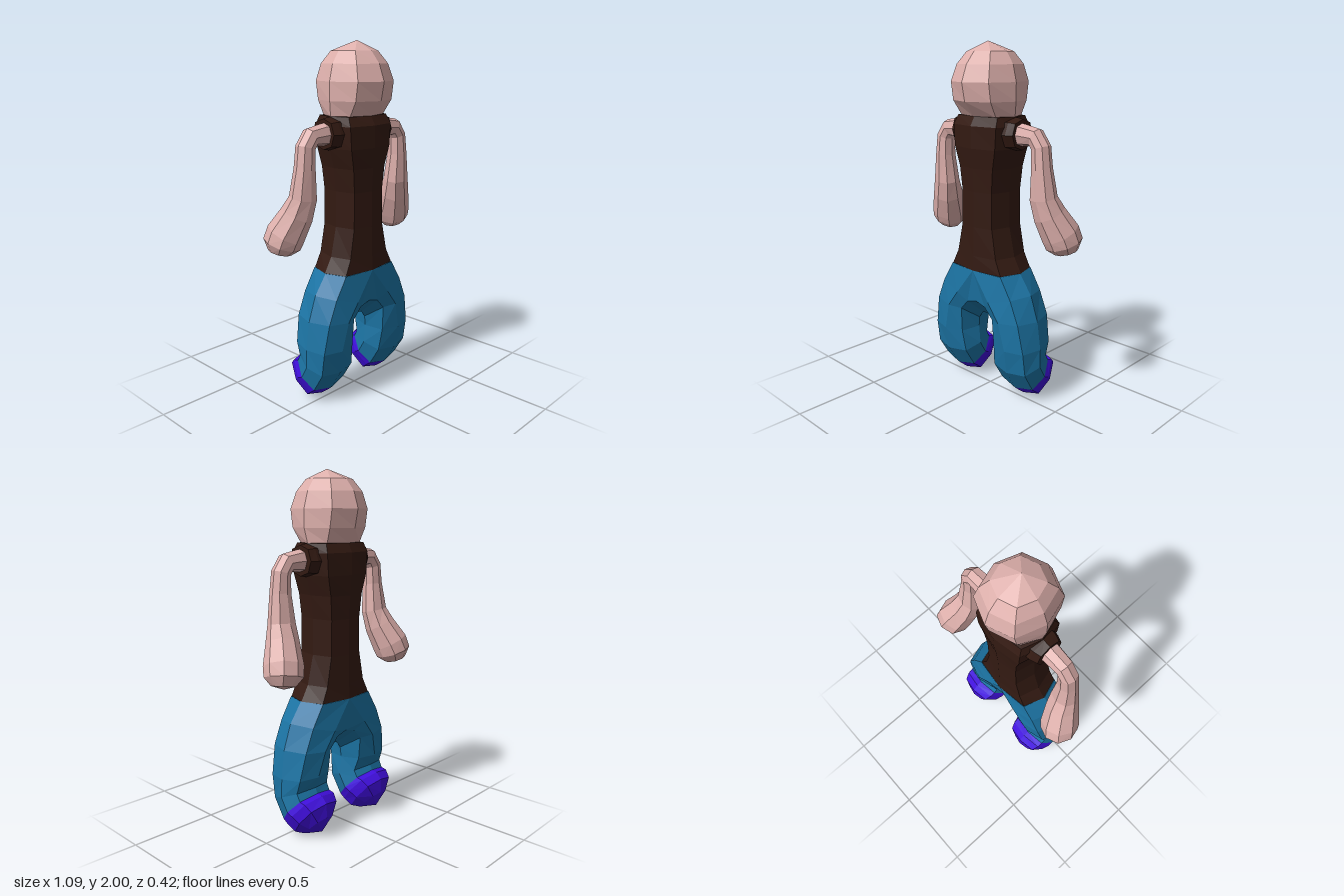
import * as THREE from 'three';

const V = (x, y, z) => new THREE.Vector3(x, y, z);
const material = (color) => new THREE.MeshStandardMaterial({ color, flatShading: true, roughness: 0.8 });

// Eight-sided unit cross-section with full corners (k) between the axes
const octagon = (k) => [[1, 0], [k, k], [0, 1], [-k, k], [-1, 0], [-k, -k], [0, -1], [k, -k]];

// Skin a list of rings, closing both ends (apex optionally pulls the last cap out)
function loft(rings, apex) {
  const tris = [];
  const n = rings[0].length;
  const centre = (r) => r.reduce((s, p) => s.add(p), V(0, 0, 0)).divideScalar(n);
  const first = centre(rings[0]);
  const last = apex || centre(rings[rings.length - 1]);
  for (let j = 0; j < n; j++) {
    const k = (j + 1) % n;
    tris.push([first, rings[0][k], rings[0][j]]);
    for (let i = 0; i + 1 < rings.length; i++) {
      const a = rings[i], b = rings[i + 1];
      tris.push([a[j], a[k], b[k]], [a[j], b[k], b[j]]);
    }
    const e = rings[rings.length - 1];
    tris.push([last, e[j], e[k]]);
  }
  // Turn the faces outward whatever the ring direction
  const volume = tris.reduce((s, [a, b, c]) => s + a.dot(b.clone().cross(c)), 0);
  if (volume < 0) tris.forEach((t) => t.reverse());
  const geometry = new THREE.BufferGeometry().setFromPoints(tris.flat());
  geometry.computeVertexNormals();
  return geometry;
}

// Horizontal ring: height, half width, front z, back z
const levelRing = (k) => ([y, w, zf, zb]) =>
  octagon(k).map(([c, s]) => V(w * c, y, (zf + zb) / 2 + ((zf - zb) / 2) * s));

// Tilted leg ring: centre x, half width, front (y, z), back (y, z)
const legRing = ([cx, w, yf, zf, yb, zb]) => octagon(0.78).map(([c, s]) => {
  const t = (s + 1) / 2;
  return V(cx + w * c, yb + (yf - yb) * t, zb + (zf - zb) * t);
});

// Hip ring from its outer, corner, front, inner corner and inner points, mirrored in z
function hipRing([o, oc, f, ic, i]) {
  const p = [o, oc, f, ic, i].map((q) => V(...q));
  const back = [p[3], p[2], p[1]].map((q) => V(q.x, q.y, -q.z - 0.01));
  return [...p, ...back];
}

// Rings across a path of [x, y, z, radius in plane, radius in depth]
function pathRings(path) {
  const pts = path.map(([x, y, z]) => V(x, y, z));
  return path.map(([, , , ra, rb], i) => {
    const t = pts[Math.min(i + 1, pts.length - 1)].clone().sub(pts[Math.max(i - 1, 0)]).normalize();
    const u = V(0, 0, 1).addScaledVector(t, -t.z).normalize();
    const v = t.clone().cross(u);
    return octagon(0.74).map(([c, s]) => pts[i].clone().addScaledVector(v, ra * c).addScaledVector(u, rb * s));
  });
}

const mirror = (rings) => rings.map((r) => r.map((p) => V(-p.x, p.y, p.z)));

export function createModel() {
  const model = new THREE.Group();
  model.name = 'figure';
  const skin = material(0xdeb0ac);
  const shirt = material(0x331a12);
  const trousers = material(0x1c74a4);
  const shoes = material(0x400edc);

  const add = (name, geometry, mat) => {
    const mesh = new THREE.Mesh(geometry, mat);
    mesh.name = name;
    model.add(mesh);
  };
  const addPair = (name, rings, mat, apex) => {
    add(name + 'Left', loft(rings, apex), mat);
    add(name + 'Right', loft(mirror(rings), apex && V(-apex.x, apex.y, apex.z)), mat);
  };

  // Head
  add('head', loft([
    [1.61, 0.175, 0.13, -0.14], [1.69, 0.19, 0.195, -0.185], [1.79, 0.19, 0.215, -0.205],
    [1.88, 0.165, 0.18, -0.175], [1.945, 0.12, 0.125, -0.12],
  ].map(levelRing(0.74)), V(0, 2, 0.02)), skin);

  // Torso
  add('torso', loft([
    [0.75, 0.23, 0.145, -0.155], [0.835, 0.18, 0.14, -0.15], [1.0, 0.14, 0.135, -0.148],
    [1.2, 0.137, 0.135, -0.148], [1.33, 0.152, 0.142, -0.155], [1.44, 0.185, 0.155, -0.165],
    [1.56, 0.195, 0.155, -0.165], [1.61, 0.18, 0.125, -0.14],
  ].map(levelRing(0.82)), V(0, 1.62, 0)), shirt);

  // Short sleeves
  addPair('sleeve', pathRings([
    [0.12, 1.52, -0.005, 0.085, 0.1], [0.19, 1.52, -0.005, 0.088, 0.095], [0.23, 1.52, -0.005, 0.082, 0.08],
  ]), shirt);

  // Arms, each ending in a rounded fist
  addPair('arm', pathRings([
    [0.18, 1.52, 0, 0.066, 0.06], [0.25, 1.52, 0, 0.058, 0.055], [0.325, 1.515, 0, 0.052, 0.05],
    [0.362, 1.465, 0, 0.05, 0.05], [0.37, 1.36, 0, 0.055, 0.053], [0.375, 1.2, -0.012, 0.075, 0.066],
    [0.395, 1.11, -0.04, 0.086, 0.084], [0.435, 1.0, -0.088, 0.1, 0.103],
    [0.45, 0.945, -0.105, 0.097, 0.1], [0.46, 0.9, -0.112, 0.062, 0.06],
  ]), skin, V(0.462, 0.885, -0.115));

  // Legs: both halves of the hips meet on the centre plane and bend into legs
  const ankle = legRing([0.235, 0.148, 0.07, 0.04, 0.25, -0.13]);
  addPair('leg', [
    hipRing([[0.23, 0.75, 0], [0.19, 0.75, 0.121], [0, 0.75, 0.145], [0, 0.56, 0.12], [0, 0.45, 0]]),
    hipRing([[0.31, 0.64, 0], [0.265, 0.63, 0.121], [0.125, 0.59, 0.15], [0.07, 0.54, 0.12], [0.06, 0.44, 0]]),
    hipRing([[0.36, 0.5, 0], [0.32, 0.5, 0.12], [0.2, 0.49, 0.15], [0.125, 0.48, 0.118], [0.092, 0.4, 0]]),
    legRing([0.24, 0.142, 0.33, 0.14, 0.35, -0.145]),
    legRing([0.235, 0.15, 0.19, 0.115, 0.28, -0.115]),
    ankle,
  ], trousers);

  // Shoes continue from the slanted ankle
  addPair('shoe', [
    ankle,
    legRing([0.235, 0.146, 0.045, 0.01, 0.245, -0.165]),
    legRing([0.235, 0.128, 0.01, -0.035, 0.21, -0.2]),
    legRing([0.235, 0.075, 0.005, -0.075, 0.13, -0.203]),
  ], shoes, V(0.235, 0.035, -0.165));

  // Stand on the ground
  const box = new THREE.Box3().setFromObject(model);
  model.children.forEach((m) => m.geometry.translate(0, -box.min.y, 0));
  return model;
}
